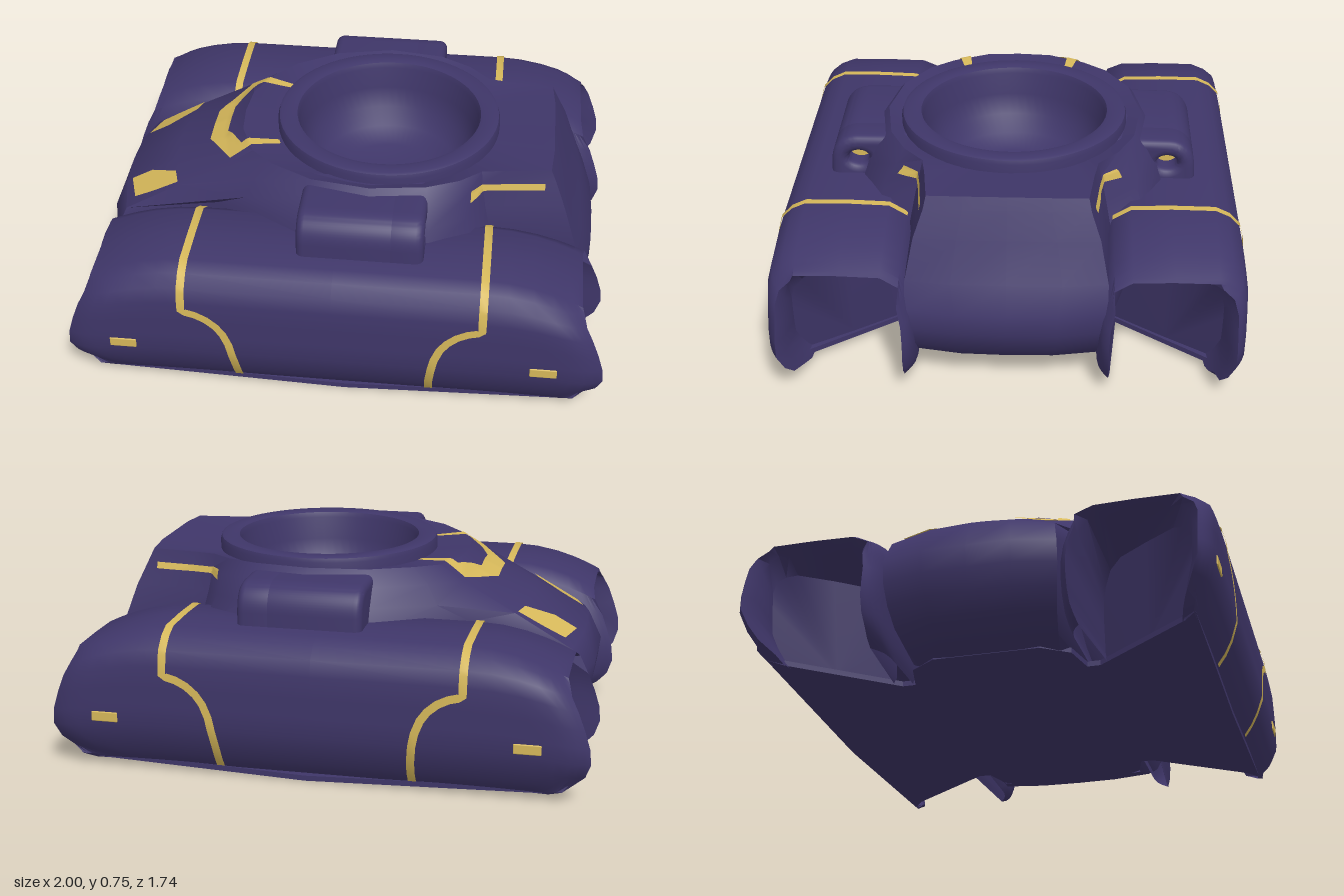
import * as THREE from 'three';
import { toCreasedNormals } from 'three/addons/utils/BufferGeometryUtils.js';
import { RoundedBoxGeometry } from 'three/addons/geometries/RoundedBoxGeometry.js';

const purple = new THREE.MeshStandardMaterial({ color: 0x3f3669, side: THREE.DoubleSide });
purple.name = 'purple armour';
const gold = new THREE.MeshStandardMaterial({ color: 0xd6b85a, side: THREE.DoubleSide });
gold.name = 'gold trim';

const RING_X = 0.13;
const lerp = THREE.MathUtils.lerp;

// Skin rows of [x, y, z] points, all rows the same length
function loft(rows, closed, crease = 0.7) {
  const n = rows[0].length, index = [];
  for (let i = 0; i < rows.length - 1; i++) {
    for (let j = 0; j < (closed ? n : n - 1); j++) {
      const k = (j + 1) % n;
      const a = i * n + j, b = i * n + k, c = a + n, d = b + n;
      index.push(a, b, d, a, d, c);
    }
  }
  const geo = new THREE.BufferGeometry();
  geo.setAttribute('position', new THREE.Float32BufferAttribute(rows.flat(2), 3));
  geo.setIndex(index);
  return toCreasedNormals(geo, crease);
}

function add(parent, name, geo, mat, x = 0, y = 0, z = 0) {
  const mesh = new THREE.Mesh(geo, mat);
  mesh.name = name;
  mesh.position.set(x, y, z);
  parent.add(mesh);
  return mesh;
}

// Value of y at x on a polyline of [x, y] pairs with rising x
function sample(table, x) {
  let i = 0;
  while (i < table.length - 2 && x > table[i + 1][0]) i++;
  const [x0, y0] = table[i], [x1, y1] = table[i + 1];
  return lerp(y0, y1, THREE.MathUtils.clamp((x - x0) / (x1 - x0), 0, 1));
}

// ---- Hull: half loops from the rear (+x) round to the nose (-x)
const mirrorLoop = half => [...half, ...half.slice(1, -1).reverse().map(([x, y, z]) => [x, y, -z])];
const deck = [[.78, .725, 0], [.78, .725, .16], [.77, .72, .29], [.6, .72, .31], [.51, .72, .325], [.43, .725, .40],
  [.31, .73, .46], [.1, .73, .49], [-.12, .725, .45], [-.28, .72, .36], [-.37, .712, .27], [-.43, .715, .13], [-.44, .715, 0]];
const brow = [[.80, .68, 0], [.80, .68, .16], [.79, .675, .30], [.6, .675, .32], [.515, .67, .335], [.45, .67, .43],
  [.32, .68, .51], [.1, .68, .54], [-.14, .67, .50], [-.34, .665, .39], [-.46, .655, .285], [-.50, .657, .13], [-.51, .658, 0]];
const shoulder = [[.84, .58, 0], [.84, .58, .18], [.83, .58, .335], [.6, .58, .345], [.53, .58, .355], [.46, .6, .47],
  [.33, .6, .55], [.1, .6, .57], [-.14, .6, .55], [-.38, .59, .41], [-.66, .545, .295], [-.70, .56, .14], [-.71, .565, 0]];
const belt = [[.9, .43, 0], [.9, .43, .2], [.88, .43, .365], [.6, .45, .37], [.56, .45, .38], [.5, .5, .5],
  [.33, .52, .58], [.1, .52, .60], [-.15, .52, .58], [-.5, .52, .36], [-.88, .42, .305], [-.91, .44, .15], [-.915, .445, 0]];
const lowLoop = (rear, nose, y, w) => [[rear, 0], [rear - .005, w * .5], [rear - .035, w], [.6, w], [.5, w], [.4, w], [.3, w],
  [.1, w], [-.15, w], [-.4, w], [nose + .04, w * .88], [nose, w * .45], [nose, 0]].map(([x, z]) => [x, y, z]);
const collar = deck.map(([x, , z]) => {
  const a = Math.atan2(z, x - RING_X);
  return [RING_X + Math.cos(a) * .42, .70, Math.sin(a) * .42];
});
const hullRows = [collar, deck, brow, shoulder, belt, lowLoop(.955, -.96, .33, .365), lowLoop(.955, -.95, .25, .365),
  lowLoop(.925, -.92, .17, .355), lowLoop(.86, -.87, .10, .34), lowLoop(.77, -.78, .05, .32),
  lowLoop(.68, -.68, .03, .30)].map(mirrorLoop);

// ---- Pod cross-section [z, y], from the inner foot over the top to the outer foot
const section = [[.34, .03], [.335, .05], [.33, .08], [.33, .13], [.33, .2], [.33, .27], [.335, .35], [.35, .43],
  [.385, .51], [.45, .55], [.6, .555], [.76, .553], [.81, .53], [.85, .49],
  [.865, .43], [.866, .35], [.866, .27], [.864, .2], [.84, .13], [.815, .08], [.795, .05], [.78, .03]];
const podEnd = [[.03, .85], [.05, .9], [.08, .94], [.13, .98], [.2, 1], [.27, .995], [.35, .975], [.43, .95],
  [.5, .92], [.555, .905]];
const droop = u => 1 - .17 * Math.max(0, (Math.abs(u) - .6) / .4) ** 2;

function podGeometry() {
  // The side walls pinch inward to a thin lip at the very ends
  const pinch = (z, u) => (z > .8 ? -.04 : z < .36 ? .04 : 0) * Math.max(0, (Math.abs(u) - .88) / .12) ** 2;
  const rim = u => section.map(([z, y]) => [u * sample(podEnd, y), y * droop(u), z + pinch(z, u)]);
  const inset = s => section.map(([z, y]) =>
    [s * (sample(podEnd, y) - .05), Math.min(y * .83, .44), lerp(.585, z, z > .6 ? .76 : .82)]);
  // The bay's back wall runs diagonally, deeper on the hull side
  const back = s => section.map(([z, y]) =>
    [s * (lerp(.5, .78, (z - .33) / .535) + .1 * y), lerp(.03, y, .7), lerp(.585, z, .72)]);
  const heart = s => section.map(() => [s * .64, .03, .585]);
  const us = [-1, -.98, -.96, -.93, -.88, -.8, -.7, -.6, 0, .6, .7, .8, .88, .93, .96, .98, 1];
  return loft([heart(-1), back(-1), inset(-1), ...us.map(rim), inset(1), back(1), heart(1)], false);
}

// Half of the floor: notched between nose and pods, rising gently towards its end
function keelGeometry(e) {
  const half = [[.04, .785], [e * .84, .785], [e * .78, .74], [e * .5, .38], [e * .5, .33], [e * .62, .3], [e * .69, .2]];
  const plan = [...half, ...half.slice().reverse().map(([x, z]) => [x, -z])];
  const shape = new THREE.Shape(plan.map(p => new THREE.Vector2(...p)));
  const geo = new THREE.ExtrudeGeometry(shape, { depth: .02, bevelEnabled: false }).rotateX(Math.PI / 2).translate(0, .05, 0);
  const pos = geo.attributes.position;
  for (let i = 0; i < pos.count; i++) {
    pos.setY(i, pos.getY(i) - .03 * Math.max(0, 1 - Math.abs(pos.getX(i) - .04) / .66));
  }
  geo.computeVertexNormals();
  return geo;
}

// Thin ribbon lying on the pod: over the top, then sweeping down the outer side
function stripeGeometry(s) {
  const sidePath = [[.55, .47], [.55, .44], [.55, .402], [.535, .394], [.50, .385], [.46, .365], [.425, .335],
    [.40, .30], [.38, .25], [.37, .2], [.362, .13], [.36, .08], [.36, .04]];
  const outer = section.slice(13).map(([z, y]) => [y, z]).reverse();
  const path = [...section.slice(8, 14).map(([z, y]) => [s * .55, y, z]),
    ...sidePath.map(([x, y]) => [s * x, y, sample(outer, y)])].map(p => new THREE.Vector3(...p));
  const rows = path.map((p, i) => {
    const t = path[Math.min(i + 1, path.length - 1)].clone().sub(path[Math.max(i - 1, 0)]);
    const n = new THREE.Vector3(0, ((p.y - .28) / .28) ** 3, ((p.z - .6) / .26) ** 3).normalize();
    const w = t.cross(n).normalize().multiplyScalar(.015);
    const q = p.clone().addScaledVector(n, .005);
    return [q.clone().add(w).toArray(), q.clone().sub(w).toArray()];
  });
  return loft(rows, false);
}

// Thin panel between two polylines, laid on a mesh from above ([x, z]) or from one side ([x, y])
function drape(target, edgeA, edgeB, side = 0) {
  const ray = new THREE.Raycaster(), rows = [], steps = 14, across = 6;
  for (let e = 0; e < edgeA.length - 1; e++) {
    for (let i = e ? 1 : 0; i <= steps; i++) {
      const row = [];
      for (let j = 0; j <= across; j++) {
        const at = k => lerp(lerp(edgeA[e][k], edgeA[e + 1][k], i / steps),
          lerp(edgeB[e][k], edgeB[e + 1][k], i / steps), j / across);
        const from = side ? new THREE.Vector3(at(0), at(1), side * 2) : new THREE.Vector3(at(0), 2, at(1));
        const dir = side ? new THREE.Vector3(0, 0, -side) : new THREE.Vector3(0, -1, 0);
        ray.set(from, dir);
        const hit = ray.intersectObject(target)[0];
        const p = hit ? hit.point : from.addScaledVector(dir, side ? 1.67 : 1.45);
        row.push(p.addScaledVector(dir, -.008).toArray());
      }
      rows.push(row);
    }
  }
  return loft(rows, false);
}

// Rounded shoulder blister, extruded along x, optionally hollow for the lamp
function blisterGeometry(s, depth, hollow) {
  const shape = new THREE.Shape();
  shape.moveTo(-s * .42, .5);
  shape.lineTo(-s * .67, .5);
  shape.lineTo(-s * .665, .6);
  shape.quadraticCurveTo(-s * .66, .677, -s * .59, .678);
  shape.lineTo(-s * .42, .68);
  if (hollow) {
    const hole = new THREE.Path();
    hole.absellipse(-s * .59, .615, .07, .058, 0, Math.PI * 2);
    shape.holes.push(hole);
  }
  const geo = new THREE.ExtrudeGeometry(shape, { depth, bevelThickness: .03, bevelSize: .03, bevelSegments: 4, curveSegments: 16 });
  return toCreasedNormals(geo.rotateY(Math.PI / 2), .6);
}

export function createModel() {
  const model = new THREE.Group();
  model.name = 'armouredHull';

  const hull = add(model, 'hull', loft(hullRows, true), purple);
  hull.updateMatrixWorld();
  for (const e of [1, -1]) add(model, 'keelPlate', keelGeometry(e), purple);

  // Turret ring with its open bowl
  const ring = [[.435, .66], [.435, .735], [.43, .75], [.42, .755], [.375, .755], [.36, .75], [.352, .73], [.345, .64],
    [.32, .56], [.27, .5], [.18, .465], [.08, .45], [0, .448]].map(p => new THREE.Vector2(...p));
  add(model, 'turretRing', toCreasedNormals(new THREE.LatheGeometry(ring, 64), .6), purple, RING_X);

  // Side pods with open ends, stripes and marker lamps
  for (const s of [1, -1]) {
    const pod = new THREE.Group();
    pod.name = s > 0 ? 'frontPod' : 'backPod';
    pod.rotation.y = s > 0 ? 0 : Math.PI;
    add(pod, 'podShell', podGeometry(), purple);
    for (const e of [1, -1]) {
      add(pod, 'podStripe', stripeGeometry(e), gold);
      add(pod, 'markerLamp', new RoundedBoxGeometry(.1, .038, .009, 2, .004), gold, e * .78, .222, .865);
    }
    model.add(pod);

    // Blister above each pod, with a lamp deep in its hollow +x end
    add(model, 'blister', blisterGeometry(s, .32, false), purple, -.12);
    add(model, 'blisterHood', blisterGeometry(s, .09, true), purple, .2);
    const lamp = add(model, 'blisterLamp', new THREE.CylinderGeometry(.045, .045, .008, 24), gold, .235, .615, s * .59);
    lamp.rotation.z = Math.PI / 2;
    lamp.scale.x = .85;

    // Gold details on the hull
    add(model, 'noseLamp', drape(hull, [[-.885, .16], [-.80, .16], [-.69, .22]].map(([x, z]) => [x, s * z]),
      [[-.85, .27], [-.77, .28], [-.67, .285]].map(([x, z]) => [x, s * z])), gold);
    add(model, 'deckStripe', drape(hull, [[.475, .642], [.53, .648], [.75, .648]], [[.475, .678], [.53, .672], [.75, .672]], s), gold);
  }
  const outer = [[-.27, .21], [-.46, .265], [-.57, .1]], inner = [[-.28, .185], [-.425, .205], [-.5, .085]];
  const both = half => [...half, ...half.slice().reverse().map(([x, z]) => [x, -z])];
  add(model, 'noseChevron', drape(hull, both(outer), both(inner)), gold);

  return model;
}
